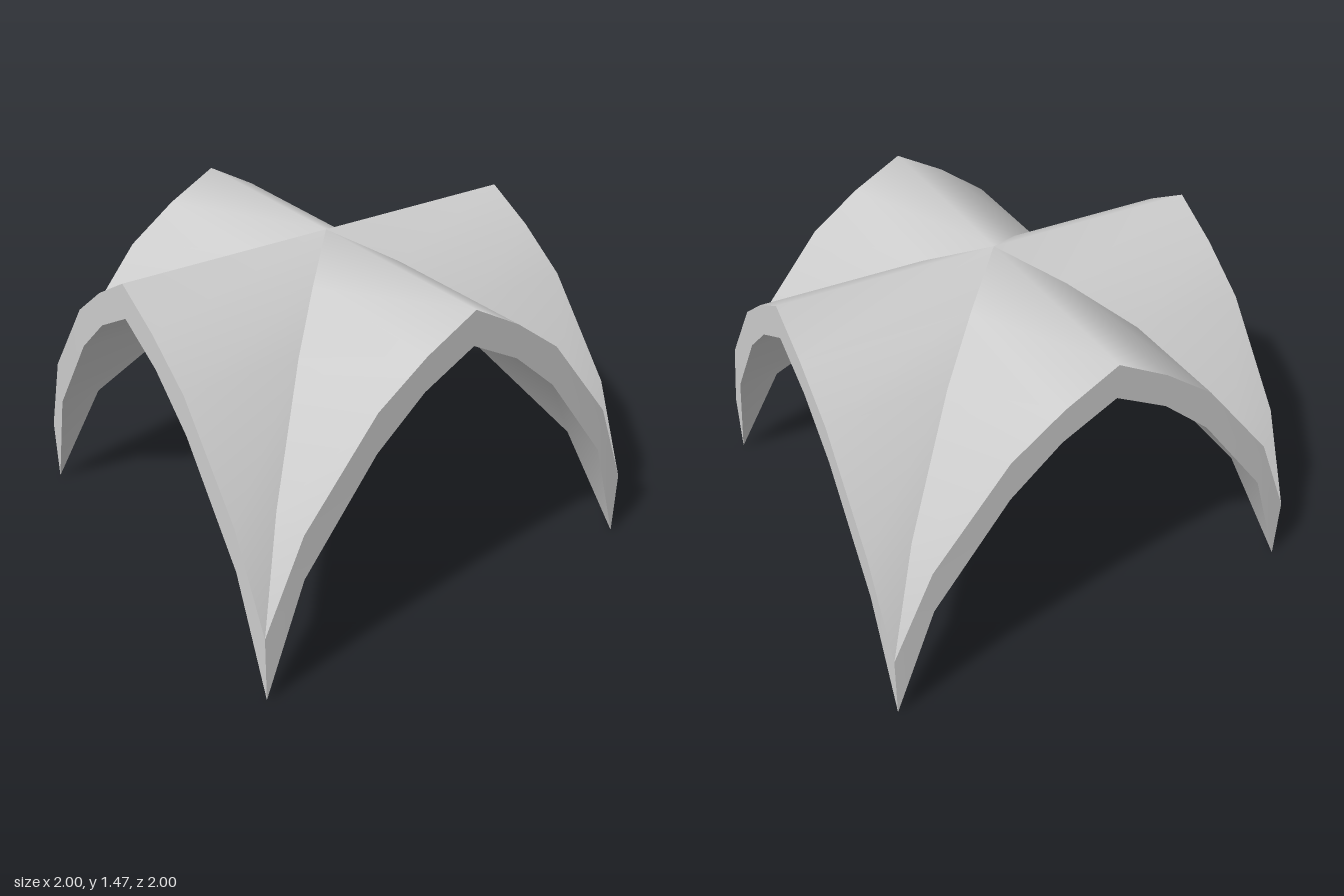
import * as THREE from 'three';

// Half profiles of the vault, crown to foot: [x, y]
const OUTER = [[0, 1.47], [0.234, 1.34], [0.466, 1.17], [0.808, 0.747], [0.99, 0.32]];
const INNER = [[0, 1.313], [0.24, 1.185], [0.466, 0.988], [0.808, 0.537], [0.99, 0.005]];

// Full arch from -x to +x
const mirror = (half) => [...half.slice(1).reverse().map(([x, y]) => [-x, y]), ...half];

// The arch set on the diagonal groins, and on the open face (tucked in at the feet)
const onGroin = (half) => mirror(half).map(([x, y]) => [x, y, Math.abs(x)]);
const onFace = (half) => mirror(half).map(([x, y]) => [x, y, Math.abs(x) > 0.9 ? 0.99 : 1]);

// Smooth strip of quads between two rows of points
function strip(rowA, rowB) {
  const n = rowA.length;
  const index = [];
  for (let i = 0; i < n - 1; i++) {
    index.push(i, n + i, n + i + 1, i, n + i + 1, i + 1);
  }
  const geometry = new THREE.BufferGeometry();
  geometry.setAttribute('position', new THREE.Float32BufferAttribute([...rowA, ...rowB].flat(), 3));
  geometry.setIndex(index);
  geometry.computeVertexNormals();
  return geometry;
}

export function createModel() {
  const model = new THREE.Group();
  model.name = 'groinVault';
  const material = new THREE.MeshStandardMaterial({ color: 0xcccccc, side: THREE.DoubleSide });

  // Surfaces of one web: upper shell, underside and the arch face between them
  const surfaces = {
    upperShell: strip(onGroin(OUTER), onFace(OUTER)),
    underside: strip(onFace(INNER), onGroin(INNER)),
    archFace: strip(onFace(OUTER), onFace(INNER)),
  };

  // Four identical webs around the centre
  ['front', 'left', 'back', 'right'].forEach((side, i) => {
    const web = new THREE.Group();
    web.name = `${side}Web`;
    for (const [name, geometry] of Object.entries(surfaces)) {
      const mesh = new THREE.Mesh(geometry, material);
      mesh.name = name;
      web.add(mesh);
    }
    web.rotation.y = (i * Math.PI) / 2;
    model.add(web);
  });

  return model;
}
